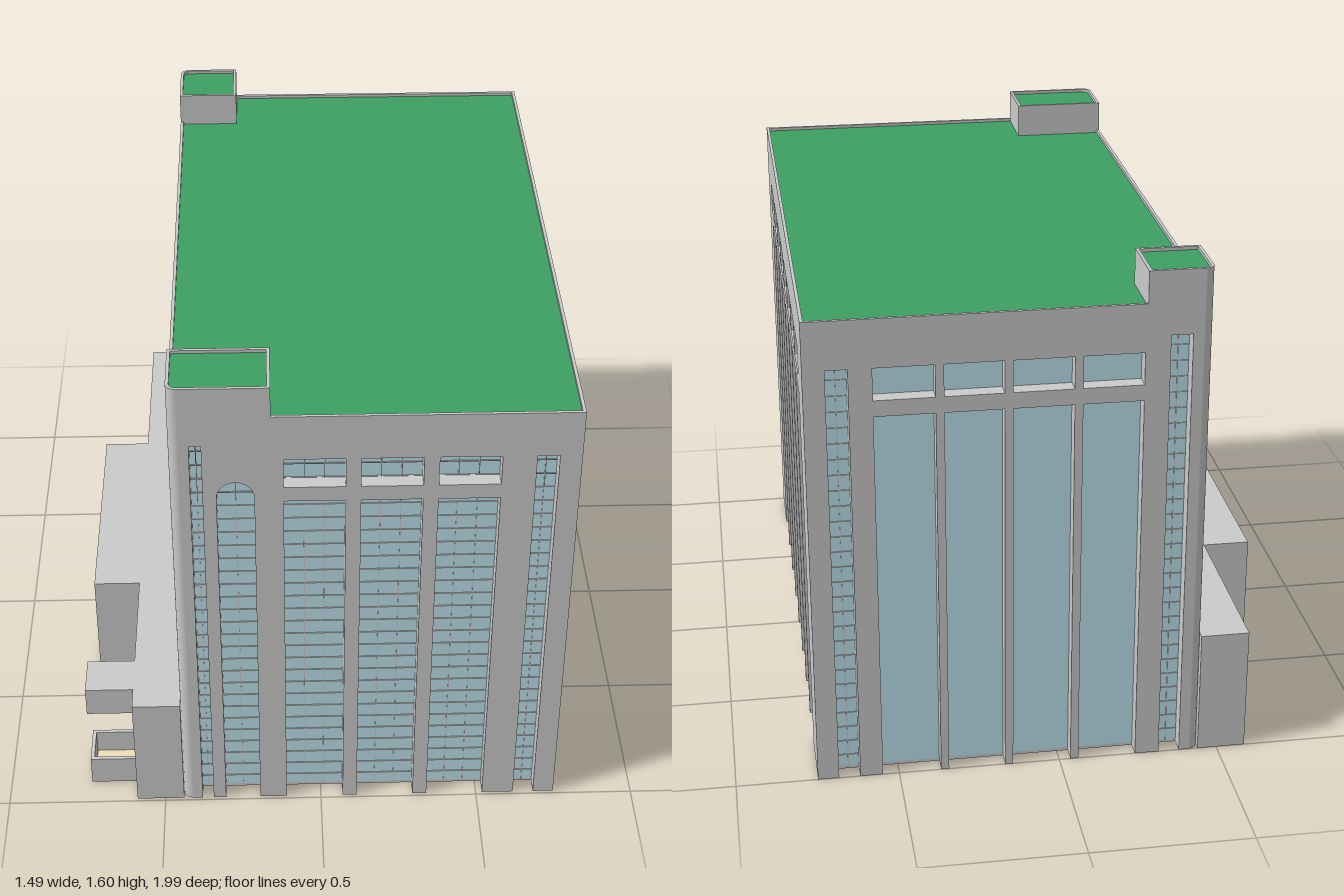
import * as THREE from 'three';

const mat = (color) => new THREE.MeshStandardMaterial({ color });
const GREY = mat(0xcccccc), GLASS = mat(0xbfe4f0), GREEN = mat(0x3da062), TAN = mat(0xf0dfb5);

// Overall block and wall thickness
const X0 = -0.44, X1 = 0.75, Z0 = -1, Z1 = 0.99, T = 0.05, R = 0.03, WALL_H = 1.45;

export function createModel() {
  const model = new THREE.Group();
  model.name = 'officeBuilding';

  const add = (name, geometry, material = GREY, parent = model) => {
    const mesh = new THREE.Mesh(geometry, material);
    mesh.name = name;
    parent.add(mesh);
    return mesh;
  };

  // Box given by its limits on each axis
  const box = (name, x0, x1, y0, y1, z0, z1, material, parent) => {
    const mesh = add(name, new THREE.BoxGeometry(x1 - x0, y1 - y0, z1 - z0), material, parent);
    mesh.position.set((x0 + x1) / 2, (y0 + y1) / 2, (z0 + z1) / 2);
    return mesh;
  };

  // Wall with notches from the ground [a, b, top, arched] and holes [a, b, bottom, top]
  const wall = (name, u0, u1, h, depth, notches, holes = []) => {
    const s = new THREE.Shape();
    s.moveTo(u0, 0);
    for (const [a, b, top, arched] of [...notches].sort((p, q) => p[0] - q[0])) {
      const r = (b - a) / 2;
      s.lineTo(a, 0);
      if (arched) {
        s.lineTo(a, top - r);
        s.absarc(a + r, top - r, r, Math.PI, 0, true);
      } else {
        s.lineTo(a, top);
        s.lineTo(b, top);
      }
      s.lineTo(b, 0);
    }
    s.lineTo(u1, 0);
    s.lineTo(u1, h);
    s.lineTo(u0, h);
    for (const [a, b, y0, y1] of holes) {
      const p = new THREE.Path();
      p.moveTo(a, y0).lineTo(a, y1).lineTo(b, y1).lineTo(b, y0).closePath();
      s.holes.push(p);
    }
    return add(name, new THREE.ExtrudeGeometry(s, { depth, bevelEnabled: false, curveSegments: 16 }));
  };

  // Plan outline, with optional rounded corners on the -x side
  const plan = (Type, x0, x1, z0, z1, rFront, rBack) => {
    const s = new Type();
    s.moveTo(x0 + rFront, -z1);
    s.lineTo(x1, -z1);
    s.lineTo(x1, -z0);
    s.lineTo(x0 + rBack, -z0);
    if (rBack) s.absarc(x0 + rBack, -z0 - rBack, rBack, Math.PI / 2, Math.PI, false);
    s.lineTo(x0, -z1 + rFront);
    if (rFront) s.absarc(x0 + rFront, -z1 + rFront, rFront, Math.PI, 1.5 * Math.PI, false);
    return s;
  };
  const slab = (name, shape, y0, y1, material, parent) => {
    const g = new THREE.ExtrudeGeometry(shape, { depth: y1 - y0, bevelEnabled: false, curveSegments: 8 });
    g.rotateX(-Math.PI / 2);
    g.translate(0, y0, 0);
    return add(name, g, material, parent);
  };

  // Solid cap with a thin parapet and a green deck
  const roof = (name, x0, x1, z0, z1, rF, rB, y0, y1) => {
    const g = new THREE.Group();
    g.name = name;
    model.add(g);
    const lip = 0.01, deck = y1 - 0.015;
    const inner = (Type) => plan(Type, x0 + lip, x1 - lip, z0 + lip, z1 - lip, rF && rF - lip, rB && rB - lip);
    const ring = plan(THREE.Shape, x0, x1, z0, z1, rF, rB);
    slab('capBlock', ring.clone(), y0, deck, GREY, g);
    ring.holes.push(inner(THREE.Path));
    slab('parapet', ring, deck, y1, GREY, g);
    slab('greenDeck', inner(THREE.Shape), deck, deck + 0.005, GREEN, g);
  };

  // Core: glazing seen through every opening, on a ground slab
  box('glazing', X0 + T, X1 - T, 0.01, WALL_H, Z0 + T, Z1 - T, GLASS);
  box('groundSlab', X0 + T, X1 - T, 0, 0.01, Z0 + T, Z1 - T);

  // Front and back walls
  const upper = (bays) => bays.map(([a, b]) => [a, b, 1.25, 1.35]);
  const lower = (bays) => bays.map(([a, b]) => [a, b, 1.2]);
  const frontBays = [[-0.11, 0.07], [0.115, 0.295], [0.34, 0.52]];
  const backBays = [[-0.24, -0.06], [-0.035, 0.145], [0.17, 0.345], [0.37, 0.55]];
  const frontSlots = [[-0.38, -0.345, 1.4], [-0.305, -0.195, 1.27, true], [0.62, 0.685, 1.35]];
  const backSlots = [[-0.38, -0.315, 1.4], [0.62, 0.685, 1.35]];
  wall('frontWall', X0 + R, X1, WALL_H, T, [...lower(frontBays), ...frontSlots], upper(frontBays)).position.z = Z1 - T;
  wall('backWall', X0 + R, X1, WALL_H, T, [...lower(backBays), ...backSlots], upper(backBays)).position.z = Z0;

  // Side walls with eight bays each
  const sideBays = Array.from({ length: 8 }, (_, i) => [-0.792 + i * 0.2, -0.608 + i * 0.2]);
  const sideSlots = [[-0.935, -0.865, 1.4, true], [0.84, 0.91, 1.4, true]];
  const sideWall = (name, x, z0, z1, slots) => {
    const m = wall(name, z0, z1, WALL_H, T, [...lower(sideBays), ...slots], upper(sideBays));
    m.rotation.y = -Math.PI / 2;
    m.position.x = x;
  };
  sideWall('plainSideWall', X1, Z0, Z1, []);
  sideWall('entranceSideWall', X0 + T, Z0 + R, Z1 - R, sideSlots);

  // Rounded corners on the entrance side
  for (const z of [Z0 + R, Z1 - R]) {
    add('roundedCorner', new THREE.CylinderGeometry(R, R, WALL_H, 32)).position.set(X0 + R, WALL_H / 2, z);
  }

  // Thin glazing bars on the front bays and the narrow slots
  const bars = (a, b, top, z, uprights) => {
    const t = 0.0015;
    for (let y = 0.05; y < top - 0.02; y += 0.05) box('glazingBar', a, b, y - t, y + t, z - 0.003, z + 0.003);
    for (let i = 1; i <= uprights; i++) {
      const x = a + ((b - a) * i) / (uprights + 1);
      box('glazingUpright', x - t, x + t, 0.01, top, z - 0.003, z + 0.003);
    }
  };
  frontBays.forEach(([a, b]) => bars(a, b, 1.35, Z1 - T, 2));
  frontSlots.forEach(([a, b, top]) => bars(a, b, top, Z1 - T, 1));
  backSlots.forEach(([a, b, top]) => bars(a, b, top, Z0 + T, 1));

  // Main roof and the two corner towers
  roof('mainRoof', X0, X1, Z0, Z1, R, R, WALL_H, 1.5);
  roof('frontTower', X0, -0.145, 0.785, Z1, R, 0, 1.48, 1.6);
  roof('backTower', X0, -0.245, Z0, -0.8, 0, R, 1.48, 1.6);

  // Low annex along the entrance side
  box('annex', -0.59, X0, 0, 0.4, Z0, Z1);

  // Main entrance portal
  const portal = wall('portalFrame', -0.4, 0.39, 0.4, 0.15, [[-0.35, 0.34, 0.3]]);
  portal.rotation.y = -Math.PI / 2;
  portal.position.x = -0.59;
  box('portalFloor', -0.73, -0.59, 0.01, 0.02, -0.35, 0.34, TAN);
  box('portalSill', -0.74, -0.73, 0, 0.03, -0.35, 0.34);
  box('portalGlass', -0.595, -0.59, 0.02, 0.3, -0.35, 0.34, GLASS);

  // Side entrance: canopy above a shallow tray
  box('sideCanopy', -0.74, -0.59, 0.3, 0.4, 0.775, 0.91);
  const tray = plan(THREE.Shape, -0.74, -0.59, 0.775, 0.91, 0, 0);
  tray.holes.push(plan(THREE.Path, -0.728, -0.592, 0.787, 0.898, 0, 0));
  slab('sideTray', tray, 0, 0.1, GREY);
  box('sideTrayFloor', -0.728, -0.592, 0.01, 0.02, 0.787, 0.898, TAN);
  box('sideGlass', -0.595, -0.59, 0.1, 0.3, 0.787, 0.898, GLASS);

  return model;
}
